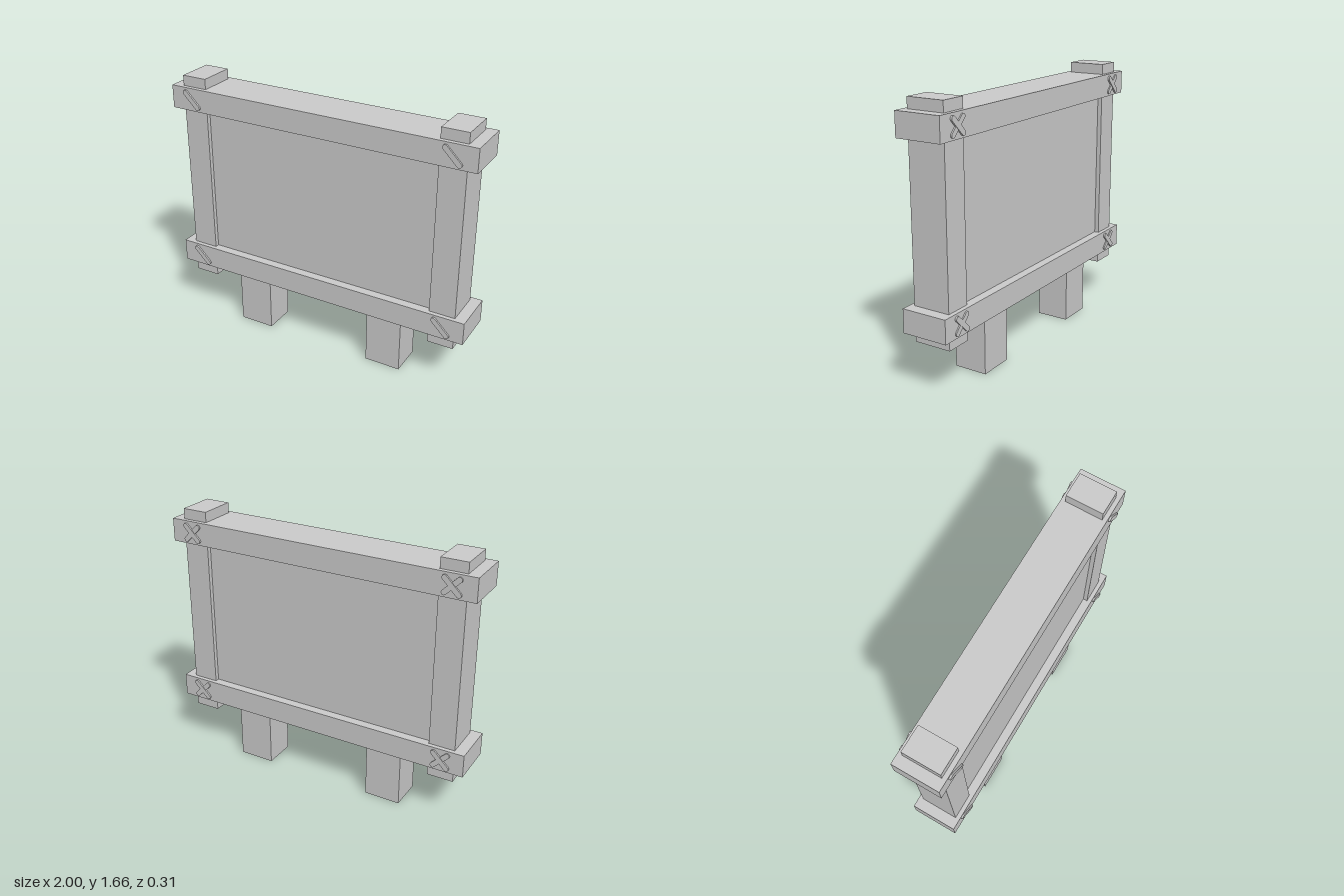
import * as THREE from 'three';

const material = new THREE.MeshStandardMaterial({ color: 0xcccccc, flatShading: true });

export function createModel() {
  const model = new THREE.Group();
  model.name = 'signBoard';

  // Box from its centre x, bottom, top, width and depth
  function addBox(name, x, y0, y1, width, depth) {
    const mesh = new THREE.Mesh(new THREE.BoxGeometry(width, y1 - y0, depth), material);
    mesh.name = name;
    mesh.position.set(x, (y0 + y1) / 2, 0);
    model.add(mesh);
  }

  addBox('panel', 0, 0.42, 1.52, 1.56, 0.18);
  addBox('topRail', 0, 1.45, 1.595, 2, 0.29);
  addBox('bottomRail', 0, 0.36, 0.505, 2, 0.29);
  for (const [side, s] of [['left', 1], ['right', -1]]) {
    addBox(side + 'Post', s * 0.85, 0.29, 1.66, 0.164, 0.236);
    addBox(side + 'Leg', s * 0.47, 0, 0.45, 0.23, 0.21);
  }

  // Round-ended strap used for the lashings
  const half = 0.061, r = 0.016;
  const shape = new THREE.Shape();
  shape.absarc(half, 0, r, -Math.PI / 2, Math.PI / 2);
  shape.absarc(-half, 0, r, Math.PI / 2, Math.PI * 1.5);
  const strap = new THREE.ExtrudeGeometry(shape, { depth: 1, bevelEnabled: false, curveSegments: 5 });

  function addStrap(parent, angle, depth) {
    const mesh = new THREE.Mesh(strap, material);
    mesh.name = 'strap';
    mesh.rotation.z = angle;
    mesh.scale.z = depth;
    parent.add(mesh);
  }

  // Lashings where rails meet posts: one strap in front, a cross behind
  for (const y of [0.432, 1.522]) {
    for (const s of [-1, 1]) {
      const front = new THREE.Group();
      front.name = 'frontLashing';
      front.position.set(s * 0.855, y, 0.14);
      addStrap(front, -Math.PI / 4, 0.016);

      const back = new THREE.Group();
      back.name = 'backLashing';
      back.position.set(s * 0.855, y, -0.14);
      back.rotation.y = Math.PI;
      addStrap(back, -Math.PI / 4, 0.016);
      addStrap(back, Math.PI / 4, 0.013);
      model.add(front, back);
    }
  }
  return model;
}
